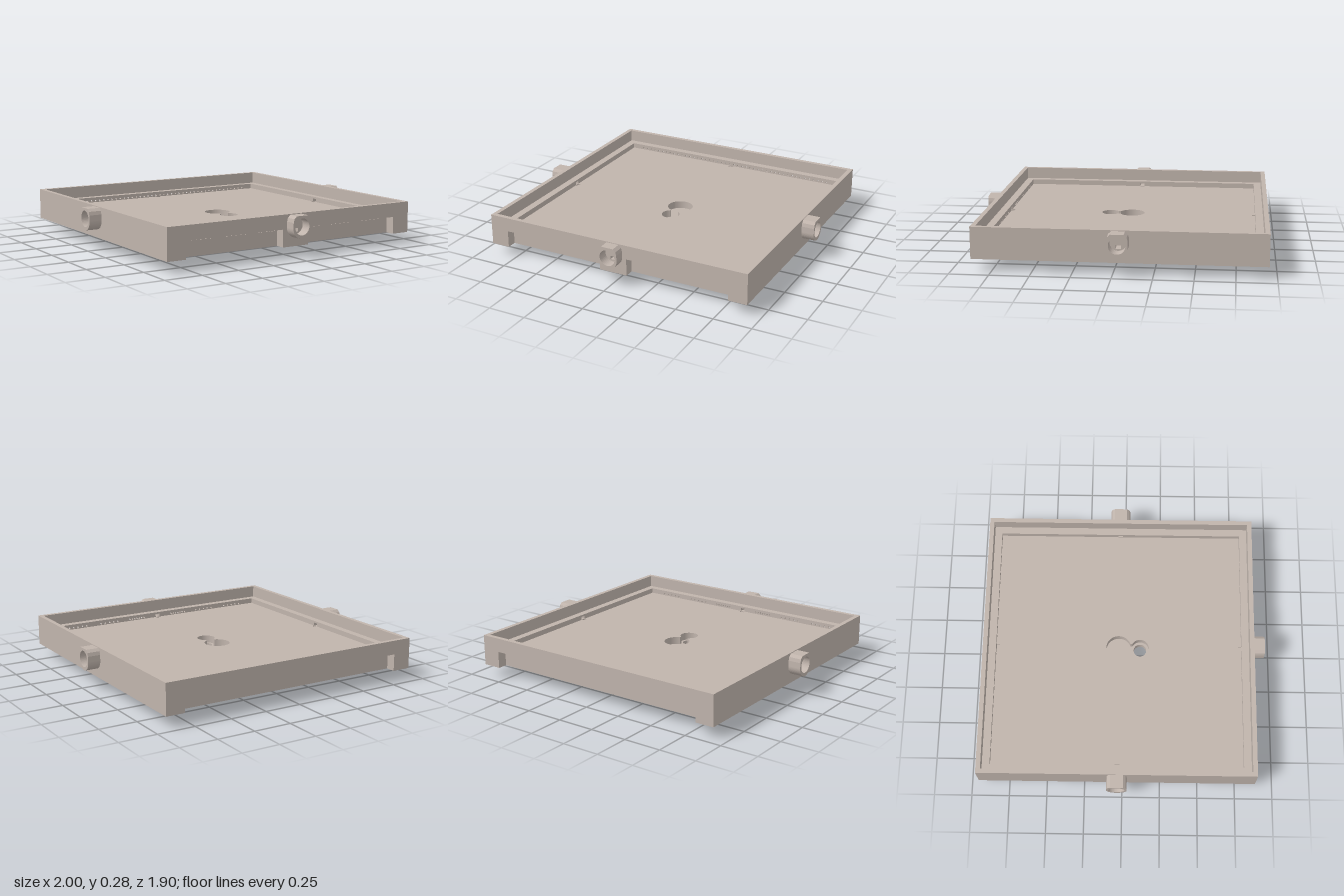
import * as THREE from 'three';

// Tray extents
const X = 0.915, Z0 = -0.95, Z1 = 0.88, ZC = -0.035;
const STEP = 0.08, RIM = 0.03;                 // ledge and rim thickness, from the outside
const BOTTOM = 0.075, FLOOR = 0.165, SLOT_TOP = 0.187, LEDGE = 0.2, TOP = 0.28;
const LEG = 0.79, MID = 0.095, CUT = 0.065;    // side slots: ends, front middle block, depth
const PORT = 0.0165;                           // half width of the port openings

export function createModel() {
  const model = new THREE.Group();
  const mat = new THREE.MeshStandardMaterial({ color: 0xc0b4ac });
  mat.name = 'warm grey';

  const add = (name, geometry, parent = model) => {
    const mesh = new THREE.Mesh(geometry, mat);
    mesh.name = name;
    parent.add(mesh);
    return mesh;
  };
  const block = (name, x0, x1, y0, y1, z0, z1) => {
    const g = new THREE.BoxGeometry(x1 - x0, y1 - y0, z1 - z0);
    g.translate((x0 + x1) / 2, (y0 + y1) / 2, (z0 + z1) / 2);
    return add(name, g);
  };
  const poly = (pts, Type = THREE.Shape) => new Type(pts.map(([x, y]) => new THREE.Vector2(x, y)));
  const rect = (x0, x1, y0, y1, Type) => poly([[x0, y0], [x1, y0], [x1, y1], [x0, y1]], Type);
  const circle = (x, y, r) => new THREE.Path().absarc(x, y, r, 0, Math.PI * 2, false);
  const extrude = (shape, depth, curveSegments = 32) =>
    new THREE.ExtrudeGeometry(shape, { depth, bevelEnabled: false, curveSegments });

  // Horizontal slab from a plan drawn as (x, -z)
  const slab = (name, shape, holes, y0, y1) => {
    shape.holes.push(...holes);
    const g = extrude(shape, y1 - y0);
    g.rotateX(-Math.PI / 2);
    g.translate(0, y0, 0);
    return add(name, g);
  };

  // Footprint with one long slot at the back and two at the front
  const footprint = () => {
    const f = -Z1, b = -Z0;
    return poly([
      [-X, f], [-LEG, f], [-LEG, f + CUT], [-MID, f + CUT], [-MID, f],
      [MID, f], [MID, f + CUT], [LEG, f + CUT], [LEG, f], [X, f],
      [X, b], [LEG, b], [LEG, b - CUT], [-LEG, b - CUT], [-LEG, b], [-X, b],
    ]);
  };

  // Keyhole pocket: a large round, a narrow neck and the drain
  const keyhole = () => {
    const p = new THREE.Path(), q = Math.PI / 2;
    const a = Math.asin(0.03 / 0.085), c = Math.asin(0.03 / 0.06);
    p.absarc(0, -ZC, 0.085, -q + a, 3 * q - a, false);
    p.absarc(0, -0.11, 0.06, q + c, 5 * q - c, false);
    p.closePath();
    return p;
  };

  // Base with drain, pocket and the shallow port recesses in the floor
  slab('base', footprint(), [circle(0, -0.11, 0.043)], BOTTOM, 0.115);
  slab('pocketLayer', footprint(), [keyhole()], 0.115, 0.157);
  const xi = X - STEP, d = 0.02, zc = -ZC, back = -Z0 - STEP, front = -Z1 + STEP;
  slab('floor', footprint(), [
    keyhole(),
    rect(xi - d, xi, zc - PORT, zc + PORT, THREE.Path),
    rect(-xi, -xi + d, zc - PORT, zc + PORT, THREE.Path),
    rect(-PORT, PORT, back - d, back, THREE.Path),
    rect(-PORT, PORT, front, front + d, THREE.Path),
  ], 0.157, FLOOR);

  // Walls of the ledge, with gaps for the port openings
  for (const s of [-1, 1]) {
    const [x0, x1] = s > 0 ? [xi, X] : [-X, -xi];
    block('sideLedge', x0, x1, FLOOR, SLOT_TOP, Z0, ZC - PORT);
    block('sideLedge', x0, x1, FLOOR, SLOT_TOP, ZC + PORT, Z1);
    const [c0, c1] = s > 0 ? [LEG, xi] : [-xi, -LEG];
    block('backCorner', c0, c1, FLOOR, SLOT_TOP, Z0, Z0 + STEP);
    block('frontCorner', c0, c1, FLOOR, SLOT_TOP, Z1 - STEP, Z1);
    const [m0, m1] = s > 0 ? [PORT, MID] : [-MID, -PORT];
    block('frontMiddle', m0, m1, FLOOR, SLOT_TOP, Z1 - STEP, Z1);
  }

  // Thin panels behind the slots, pierced by rows of weep holes
  const panel = (name, x0, x1, z, xs) => {
    const shape = rect(x0, x1, FLOOR, SLOT_TOP);
    for (const x of xs) shape.holes.push(circle(x, 0.176, 0.0065));
    const g = extrude(shape, STEP - CUT, 3);
    g.translate(0, 0, z);
    add(name, g);
  };
  const row = (a, b, n) => Array.from({ length: n }, (_, i) => a + (b - a) * i / (n - 1));
  panel('backPanel', -LEG, LEG, Z0 + CUT, row(-0.75, 0.75, 46));
  const frontHoles = [...row(0.115, 0.23, 7), ...row(0.33, 0.465, 5), ...row(0.58, 0.715, 5)];
  panel('frontPanel', MID, LEG, Z1 - STEP, frontHoles);
  panel('frontPanel', -LEG, -MID, Z1 - STEP, frontHoles.map((x) => -x));

  // Ledge top and raised rim
  const ring = (name, t, y0, y1) => slab(name, rect(-X, X, -Z1, -Z0),
    [rect(-X + t, X - t, -Z1 + t, -Z0 - t, THREE.Path)], y0, y1);
  ring('ledge', STEP, SLOT_TOP, LEDGE);
  ring('rim', RIM, LEDGE, TOP);

  // Hose ports: round below, flat and chamfered on top
  const port = (name, x, z, angle, length) => {
    const s = new THREE.Shape();
    s.moveTo(-0.067, 0.197);
    s.absarc(0, 0.197, 0.067, Math.PI, Math.PI * 2, false);
    s.lineTo(0.066, 0.235);
    s.lineTo(0.06, 0.258);
    s.lineTo(0.042, 0.275);
    s.lineTo(-0.042, 0.275);
    s.lineTo(-0.06, 0.258);
    s.lineTo(-0.066, 0.235);
    s.closePath();
    s.holes.push(circle(0, 0.205, 0.053));
    const mesh = add(name, extrude(s, length, 20));
    mesh.position.set(x, 0, z);
    mesh.rotation.y = angle;
  };
  port('frontPort', 0, Z1, 0, 0.07);
  port('leftPort', X, ZC, Math.PI / 2, 0.085);
  port('rightPort', -X, ZC, -Math.PI / 2, 0.085);

  // L-shaped rails underneath, with feet pointing inwards
  for (const s of [-1, 1]) {
    const pts = [[0.5, 0], [0.5, BOTTOM], [0.47, BOTTOM], [0.47, 0.043], [0.44, 0.043], [0.44, 0]];
    const g = extrude(poly(pts.map(([x, y]) => [s * x, y])), 0.615);
    g.translate(0, 0, -0.53);
    add(s > 0 ? 'leftRail' : 'rightRail', g);
  }

  return model;
}
